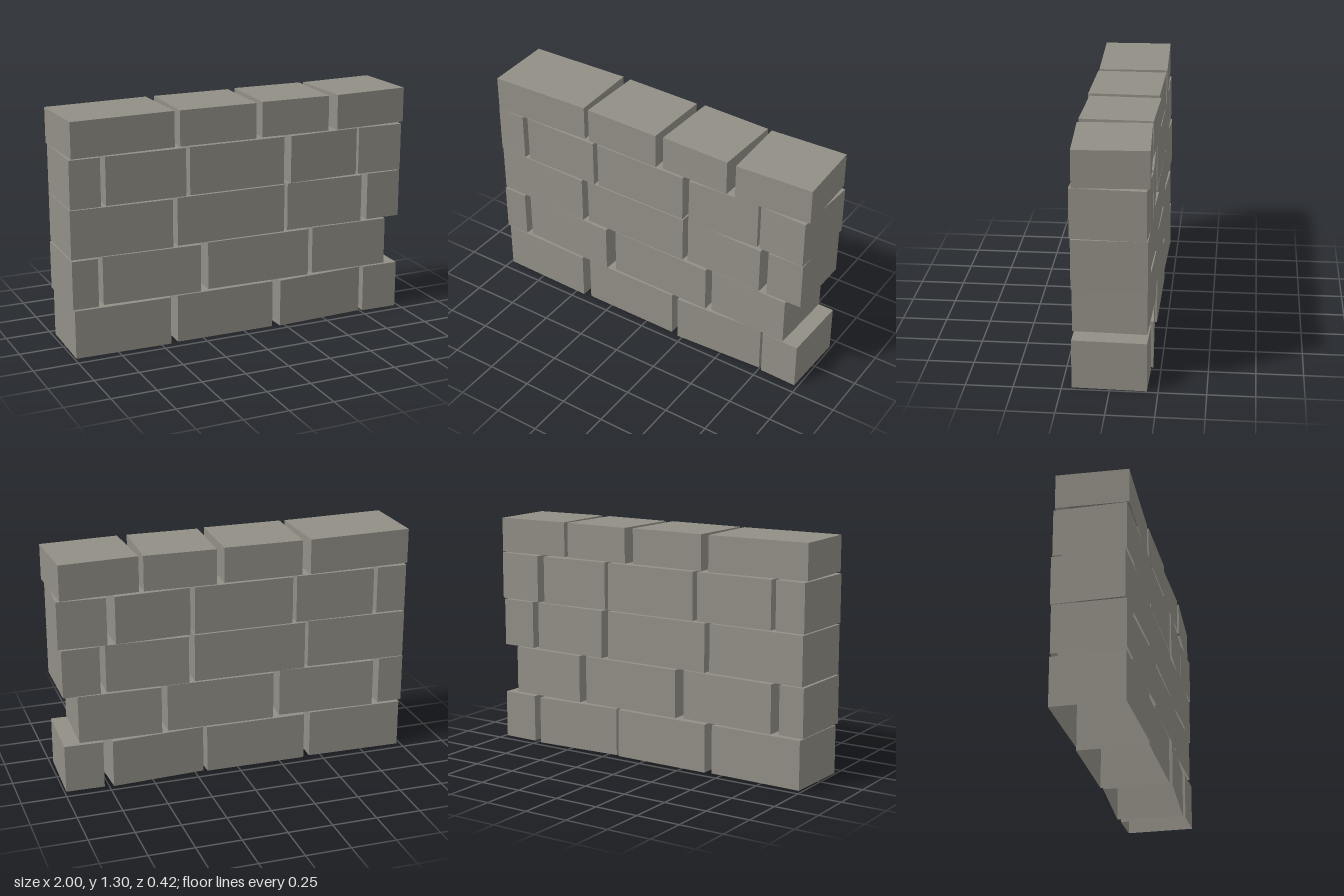
import * as THREE from 'three';

const DEPTH = 0.39;

// Each course: bottom, top, then stones as [left, right, turn],
// where turn is the width of end face showing from the front (+ left end, - right end)
const COURSES = [
  { y0: 0, y1: 0.27, stones: [[-0.99, -0.435, -0.01], [-0.4, 0.18, -0.004], [0.2, 0.745, 0.02], [0.765, 0.99, -0.01]] },
  { y0: 0.28, y1: 0.55, stones: [[-1, -0.85, -0.006], [-0.825, -0.25, -0.017], [-0.215, 0.405, -0.008], [0.43, 0.905, -0.012]] },
  { y0: 0.557, y1: 0.827, stones: [[-1, -0.415, -0.012], [-0.395, 0.248, -0.004], [0.27, 0.745, -0.014], [0.775, 0.985, -0.003]] },
  { y0: 0.833, y1: 1.1, stones: [[-1, -0.82, -0.01], [-0.8, -0.34, -0.005], [-0.32, 0.245, -0.005], [0.27, 0.7, 0.012], [0.715, 1, -0.019]] },
  { y0: 1.108, y1: 1.305, stones: [[-1, -0.405, 0.01], [-0.375, 0.077, -0.008], [0.11, 0.525, -0.013], [0.55, 1, 0.016]] },
];

// Box with an open underside
function stoneGeometry(width, height) {
  const geometry = new THREE.BoxGeometry(width, height, DEPTH);
  const index = Array.from(geometry.index.array);
  index.splice(18, 6);
  geometry.setIndex(index);
  geometry.clearGroups();
  return geometry;
}

export function createModel() {
  const stoneGrey = new THREE.MeshStandardMaterial({ color: 0x928f86, side: THREE.DoubleSide });
  stoneGrey.name = 'stoneGrey';

  const wall = new THREE.Group();
  wall.name = 'stoneWall';

  COURSES.forEach(({ y0, y1, stones }, row) => {
    const course = new THREE.Group();
    course.name = `course${row + 1}`;
    stones.forEach(([left, right, turn], i) => {
      const width = right - left - Math.abs(turn);
      const stone = new THREE.Mesh(stoneGeometry(width, y1 - y0), stoneGrey);
      stone.name = `stone${i + 1}`;
      stone.position.set((left + right) / 2, (y0 + y1) / 2, 0);
      stone.rotation.y = Math.asin(turn / DEPTH);
      course.add(stone);
    });
    wall.add(course);
  });
  return wall;
}
